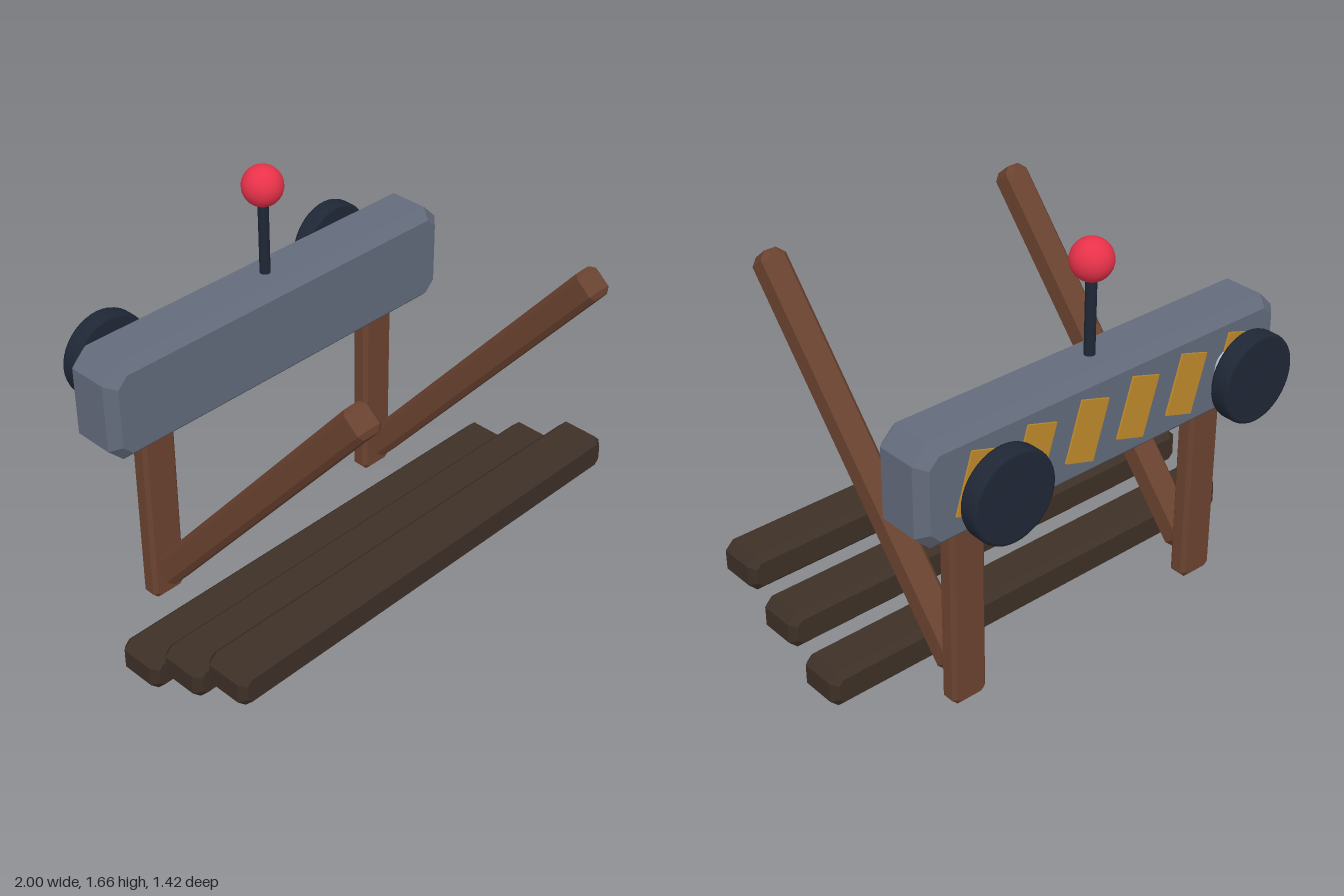
import * as THREE from 'three';

const mat = (color) => new THREE.MeshStandardMaterial({ color });
const flat = (color) => new THREE.MeshStandardMaterial({ color, flatShading: true });

// Block with cut corners in its x-y outline and a bevelled rim front and back
function chamferedBlock(w, h, d, cut, bevel) {
  const x = w / 2 - bevel, y = h / 2 - bevel;
  const c = cut - bevel * (2 - Math.SQRT2);
  const outline = [
    [x - c, -y], [x, -y + c], [x, y - c], [x - c, y],
    [-x + c, y], [-x, y - c], [-x, -y + c], [-x + c, -y],
  ].map(([px, py]) => new THREE.Vector2(px, py));
  const geo = new THREE.ExtrudeGeometry(new THREE.Shape(outline), {
    depth: d - 2 * bevel, bevelEnabled: true, bevelSegments: 1,
    bevelSize: bevel, bevelThickness: bevel,
  });
  return geo.translate(0, 0, -d / 2 + bevel);
}

export function createModel() {
  const model = new THREE.Group();
  model.name = 'benchMachine';

  const darkWood = flat(0x3d3027);
  const wood = flat(0x6b4330);
  const metal = flat(0x636b7b);
  const black = mat(0x1f2736);
  const steel = mat(0xb4bac4);
  const yellow = flat(0xc08a2c);
  const red = mat(0xe8324a);

  function add(name, geometry, material, x, y, z) {
    const mesh = new THREE.Mesh(geometry, material);
    mesh.name = name;
    mesh.position.set(x, y, z);
    model.add(mesh);
    return mesh;
  }

  const beamY = 1.005, beamZ = -0.432;

  // Three stepped planks
  const plank = chamferedBlock(2, 0.152, 0.195, 0.035, 0.026);
  for (let i = 0; i < 3; i++) {
    add('plank' + (i + 1), plank, darkWood, 0, 0.077 + i * 0.124, -0.1 + i * 0.243);
  }

  // Cross beam
  add('beam', chamferedBlock(1.72, 0.414, 0.245, 0.066, 0.04), metal, 0, beamY, beamZ);

  // Slanted hazard stripes on the back of the beam
  const stripe = new THREE.BoxGeometry(0.135, 0.24, 0.012);
  for (let i = 0; i < 6; i++) {
    add('stripe' + (i + 1), stripe, yellow, (i - 2.5) * 0.246, beamY, -0.556).rotation.z = 0.3;
  }

  // Upright posts, slanted arms and back wheels on both sides
  const post = chamferedBlock(0.155, 0.9, 0.078, 0.024, 0.015);
  const arm = chamferedBlock(0.11, 1.66, 0.118, 0.03, 0.02);
  const axle = new THREE.CylinderGeometry(0.065, 0.065, 0.14, 32).rotateX(Math.PI / 2);
  const rim = [[0, -0.04], [0.162, -0.04], [0.173, -0.036], [0.177, -0.025],
    [0.177, 0.025], [0.173, 0.036], [0.162, 0.04], [0, 0.04]];
  const wheel = new THREE.LatheGeometry(rim.map(([r, h]) => new THREE.Vector2(r, h)), 40)
    .rotateX(Math.PI / 2);
  for (const [side, s] of [['left', 1], ['right', -1]]) {
    const x = s * 0.588;
    add(side + 'Post', post, wood, x, 0.46, beamZ);
    add(side + 'Arm', arm, wood, x, 0.756, 0.136).rotation.x = THREE.MathUtils.degToRad(40);
    add(side + 'Axle', axle, steel, x, beamY, -0.59);
    add(side + 'Wheel', wheel, black, x, beamY, -0.675);
  }

  // Lever with a ball knob on top
  add('leverRod', new THREE.CylinderGeometry(0.021, 0.021, 0.36, 20), black, 0, 1.37, beamZ);
  add('leverBall', new THREE.SphereGeometry(0.08, 32, 20), red, 0, 1.578, beamZ);

  return model;
}
